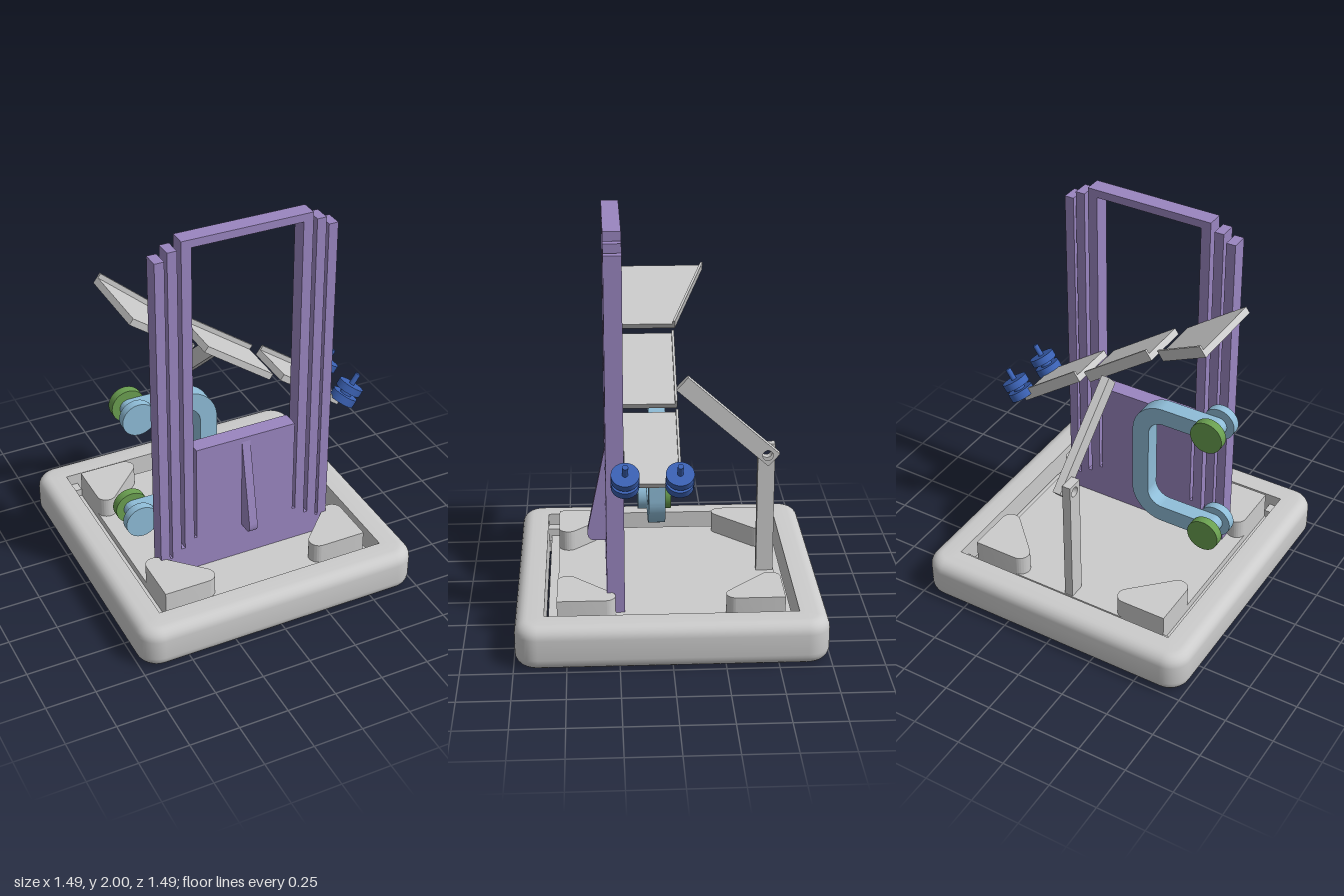
import * as THREE from 'three';
import { toCreasedNormals } from 'three/addons/utils/BufferGeometryUtils.js';

const mat = (color) => new THREE.MeshStandardMaterial({ color });
const grey = mat(0xcccccc), purple = mat(0x9a86c0), paleBlue = mat(0x8fbdd8);
const green = mat(0x6a9f50), navy = mat(0x3b62b5);

function add(parent, name, geometry, material, x = 0, y = 0, z = 0) {
  const mesh = new THREE.Mesh(geometry, material);
  mesh.name = name;
  mesh.position.set(x, y, z);
  parent.add(mesh);
  return mesh;
}

// Box given by its limits
function block(parent, name, material, x0, x1, y0, y1, z0, z1) {
  return add(parent, name, new THREE.BoxGeometry(x1 - x0, y1 - y0, z1 - z0), material,
    (x0 + x1) / 2, (y0 + y1) / 2, (z0 + z1) / 2);
}

const polygon = (pts) => new THREE.Shape(pts.map(([x, y]) => new THREE.Vector2(x, y)));
const slab = (shape, depth) => toCreasedNormals(
  new THREE.ExtrudeGeometry(shape, { depth, bevelEnabled: false, curveSegments: 16 }), 0.6);

// Shape drawn in (z, y), extruded from x0 to x1
const sideSlab = (shape, x0, x1) => slab(shape, x1 - x0).rotateY(-Math.PI / 2).translate(x1, 0, 0);

function withHole(shape, x, y, r) {
  const hole = new THREE.Path();
  hole.absarc(x, y, r, 0, Math.PI * 2, true);
  shape.holes.push(hole);
  return shape;
}

// Square ring with rounded outside: each row is [corner centre, corner radius, y]
function baseRing() {
  const c = 0.635, R = 0.11, f = 0.06, H = 0.22, steps = 6, arc = 10;
  const rows = [[0.605, 0, 0]];
  for (let i = 0; i <= steps; i++) {
    const a = (i / steps) * Math.PI / 2;
    rows.push([c, R - f + f * Math.sin(a), f - f * Math.cos(a)]);
  }
  for (let i = 0; i <= steps; i++) {
    const a = (i / steps) * Math.PI / 2;
    rows.push([c, R - f + f * Math.cos(a), H - f + f * Math.sin(a)]);
  }
  rows.push([0.605, 0, H], [0.605, 0, 0]);
  const n = 4 * (arc + 1), pos = [], idx = [];
  for (const [k, r, y] of rows) {
    for (let q = 0; q < 4; q++) {
      const mid = Math.PI / 4 + q * Math.PI / 2;
      for (let j = 0; j <= arc; j++) {
        const a = (q + j / arc) * Math.PI / 2;
        pos.push(Math.sign(Math.cos(mid)) * k + r * Math.cos(a), y,
          -(Math.sign(Math.sin(mid)) * k + r * Math.sin(a)));
      }
    }
  }
  for (let i = 0; i < rows.length - 1; i++) {
    for (let j = 0; j < n; j++) {
      const a = i * n + j, b = i * n + (j + 1) % n;
      idx.push(a, b, b + n, a, b + n, a + n);
    }
  }
  const g = new THREE.BufferGeometry();
  g.setAttribute('position', new THREE.Float32BufferAttribute(pos, 3));
  g.setIndex(idx);
  return toCreasedNormals(g, 0.6);
}

function buildBase() {
  const base = new THREE.Group();
  base.name = 'base';
  add(base, 'baseRim', baseRing(), grey);
  block(base, 'floorFlange', grey, -0.59, 0.59, 0.09, 0.12, -0.59, 0.59);
  block(base, 'floorPlate', grey, -0.545, 0.545, 0.12, 0.16, -0.545, 0.545);

  // Corner pads with two rounded tips, corner tabs and feet
  const pad = new THREE.Shape();
  pad.moveTo(0, 0);
  pad.lineTo(0.23, 0);
  pad.absarc(0.23, 0.05, 0.05, -Math.PI / 2, Math.PI / 4, false);
  pad.absarc(0.05, 0.23, 0.05, Math.PI / 4, Math.PI, false);
  pad.closePath();
  const padGeo = slab(pad, 0.105).rotateX(-Math.PI / 2);
  for (let i = 0; i < 4; i++) {
    const corner = new THREE.Group();
    corner.name = 'baseCorner';
    corner.rotation.y = i * Math.PI / 2;
    add(corner, 'cornerPad', padGeo, grey, -0.545, 0.16, 0.545);
    block(corner, 'cornerTab', grey, -0.605, -0.545, 0.09, 0.16, 0.545, 0.605);
    add(corner, 'foot', new THREE.CylinderGeometry(0.095, 0.095, 0.08, 32), grey, -0.45, 0.05, 0.45);
    base.add(corner);
  }
  return base;
}

function buildFrame() {
  const frame = new THREE.Group();
  frame.name = 'uprightFrame';
  const z0 = 0.22, z1 = 0.305;
  block(frame, 'lowerPanel', purple, -0.265, 0.265, 0.16, 0.865, z0, z1);
  block(frame, 'topBar', purple, -0.28, 0.28, 1.96, 2, z0, z1);
  for (const s of [-1, 1]) {
    const bar = (name, a, b, y0, y1) =>
      block(frame, name, purple, Math.min(s * a, s * b), Math.max(s * a, s * b), y0, y1, z0, z1);
    bar('innerPost', 0.28, 0.33, 0.16, 2);
    bar('middlePost', 0.35, 0.398, 0.16, 1.96);
    bar('outerPost', 0.412, 0.46, 0.16, 1.92);
    // Webs that join the posts at the foot
    bar('innerWeb', 0.265, 0.28, 0.16, 0.345);
    bar('middleWeb', 0.33, 0.35, 0.16, 0.30);
    bar('outerWeb', 0.398, 0.412, 0.16, 0.26);
  }
  const fin = polygon([[0.3, 0.345], [0.36, 0.345]]);
  fin.quadraticCurveTo(0.402, 0.345, 0.395, 0.40);
  fin.lineTo(0.3, 0.865);
  fin.closePath();
  add(frame, 'frontFin', sideSlab(fin, -0.022, 0.022), purple);
  return frame;
}

// Sloping tray: back edge at zL on the high end, zR on the low end
function tray(name, x, y, length, zL, zR) {
  const g = new THREE.Group();
  g.name = name;
  g.position.set(x, y, 0);
  g.rotation.z = -0.625;
  const h = length / 2, front = 0.218;
  const plate = polygon([[-h, -front], [h, -front], [h, -zR], [-h, -zL]]);
  const lip = polygon([[-h, -zL - 0.012], [h, -zR - 0.012], [h, -zR], [-h, -zL]]);
  add(g, 'trayPlate', slab(plate, 0.034).rotateX(-Math.PI / 2), grey, 0, -0.028, 0);
  add(g, 'trayLip', slab(lip, 0.024).rotateX(-Math.PI / 2), grey, 0, 0.006, 0);
  return g;
}

// Double-disc knob on a thin pin
function knob(z) {
  const g = new THREE.Group();
  g.name = 'knob';
  g.position.set(0.585, 0.875, z);
  g.rotation.z = -0.6;
  const cyl = (n, r, h, y) => add(g, n, new THREE.CylinderGeometry(r, r, h, 32), navy, 0, y, 0);
  cyl('lowerDisc', 0.066, 0.042, 0);
  cyl('neck', 0.03, 0.04, 0.035);
  cyl('upperDisc', 0.066, 0.038, 0.06);
  cyl('pin', 0.014, 0.07, 0.105);
  return g;
}

function buildStay() {
  const g = new THREE.Group();
  g.name = 'rearStay';
  const post = polygon([[-0.54, 0.16], [-0.455, 0.16], [-0.455, 0.845], [-0.54, 0.845]]);
  add(g, 'stayPost', sideSlab(withHole(post, -0.5, 0.8, 0.026), -0.024, 0.02), grey);
  const arm = polygon([[-0.503, 0.743], [-0.56, 0.806], [-0.105, 1.21], [-0.047, 1.147]]);
  add(g, 'stayArm', sideSlab(withHole(arm, -0.5, 0.8, 0.026), 0.02, 0.062), grey);
  return g;
}

function buildClamp() {
  const g = new THREE.Group();
  g.name = 'clamp';
  const top = 1.04, low = 0.345, w = 0.09, R = 0.17, right = -0.05, end = -0.48, q = Math.PI / 2;
  const s = new THREE.Shape();
  s.moveTo(end, low);
  s.absarc(right - R, low + R, R, -q, 0, false);
  s.absarc(right - R, top - R, R, 0, q, false);
  s.absarc(end, top - w / 2, w / 2, q, 3 * q, false);
  s.absarc(right - R, top - R, R - w, q, 0, true);
  s.absarc(right - R, low + R, R - w, 0, -q, true);
  s.absarc(end, low + w / 2, w / 2, q, 3 * q, false);
  add(g, 'clampBow', slab(s, 0.085), paleBlue);
  const disc = new THREE.CylinderGeometry(0.085, 0.085, 0.045, 40).rotateX(q);
  for (const y of [1.0, 0.39]) {
    add(g, 'frontDisc', disc, paleBlue, end, y, 0.1075);
    add(g, 'rearDisc', disc, green, end, y, -0.0225);
  }
  return g;
}

export function createModel() {
  const model = new THREE.Group();
  model.name = 'model';
  model.add(buildBase(), buildFrame(), buildStay(), buildClamp());
  model.add(tray('upperTray', -0.382, 1.502, 0.375, -0.21, -0.055));
  model.add(tray('middleTray', 0.011, 1.242, 0.425, -0.045, -0.045));
  model.add(tray('lowerTray', 0.405, 0.981, 0.4, -0.045, -0.045));
  model.add(knob(0.217), knob(-0.035));
  return model;
}
